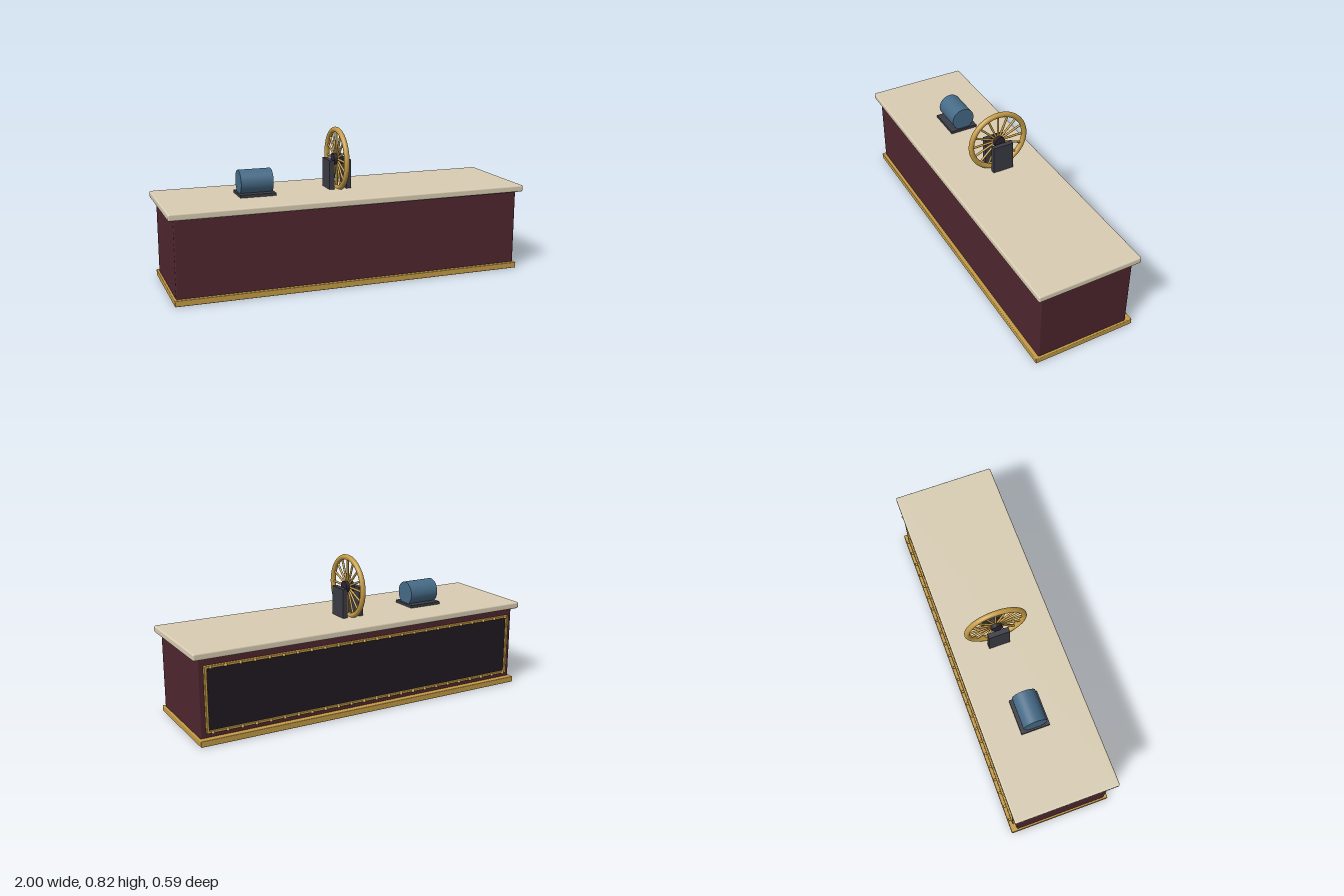
import * as THREE from 'three';
import { RoundedBoxGeometry } from 'three/addons/geometries/RoundedBoxGeometry.js';

const mat = (color) => new THREE.MeshStandardMaterial({ color });

export function createModel() {
  const model = new THREE.Group();
  const brass = mat(0xc39a45), maroon = mat(0x4e262e), stone = mat(0xd8ccb2);
  const iron = mat(0x3b3b45), hubDark = mat(0x2c2630), blue = mat(0x466b87), black = mat(0x1f1a22);

  const add = (name, geometry, material, x, y, z, parent = model) => {
    const mesh = new THREE.Mesh(geometry, material);
    mesh.name = name;
    mesh.position.set(x, y, z);
    parent.add(mesh);
    return mesh;
  };
  const rounded = (w, h, d, r) => new RoundedBoxGeometry(w, h, d, 3, r);

  // Counter: plinth, body and worktop
  add('plinth', rounded(1.96, 0.033, 0.576, 0.004), brass, 0, 0.0165, -0.004);
  add('body', rounded(1.94, 0.42, 0.523, 0.008), maroon, 0, 0.238, 0.0035);
  add('worktop', rounded(2, 0.037, 0.582, 0.009), stone, 0, 0.4665, 0.003);

  // Back panel in a brass frame
  const panel = new THREE.Group();
  panel.name = 'backPanel';
  model.add(panel);
  add('panelBoard', new THREE.BoxGeometry(1.86, 0.34, 0.008), black, 0, 0.234, -0.260, panel);
  for (const s of [-1, 1]) {
    add('frameRail', rounded(1.88, 0.014, 0.02, 0.004), brass, 0, 0.234 + s * 0.169, -0.2655, panel);
    add('frameStile', rounded(0.014, 0.352, 0.02, 0.004), brass, s * 0.933, 0.234, -0.2655, panel);
  }

  // Studs along both rails
  const studs = 24;
  const studGeometry = new THREE.SphereGeometry(0.0085, 12, 8);
  for (const y of [0.065, 0.404]) {
    for (let i = 0; i < studs; i++) {
      add('stud', studGeometry, brass, -0.91 + (1.82 * i) / (studs - 1), y, -0.281, panel);
    }
  }

  // Spoked flywheel, axle along x
  const wheel = new THREE.Group();
  wheel.name = 'flywheel';
  wheel.position.set(0, 0.645, -0.031);
  model.add(wheel);
  add('rim', new THREE.TorusGeometry(0.162, 0.0148, 16, 72), brass, 0, 0, 0, wheel).rotation.y = Math.PI / 2;
  const spokeGeometry = new THREE.CylinderGeometry(0.006, 0.006, 0.135, 10).translate(0, 0.0875, 0);
  for (let i = 0; i < 16; i++) {
    add('spoke', spokeGeometry, brass, 0, 0, 0, wheel).rotation.x = (i * Math.PI) / 8;
  }
  add('hub', new THREE.CylinderGeometry(0.032, 0.032, 0.05, 32), hubDark, 0, 0, 0, wheel).rotation.z = Math.PI / 2;

  // Bearing posts on both sides of the wheel
  for (const s of [-1, 1]) {
    add('bearingPost', new THREE.BoxGeometry(0.028, 0.163, 0.119), iron, s * 0.049, 0.5645, -0.0315);
  }

  // Motor lying on its base plate
  add('motorBase', new THREE.BoxGeometry(0.197, 0.016, 0.16), iron, -0.477, 0.492, -0.014);
  add('motor', new THREE.CylinderGeometry(0.066, 0.066, 0.178, 40), blue, -0.477, 0.556, -0.015).rotation.z = Math.PI / 2;

  return model;
}
